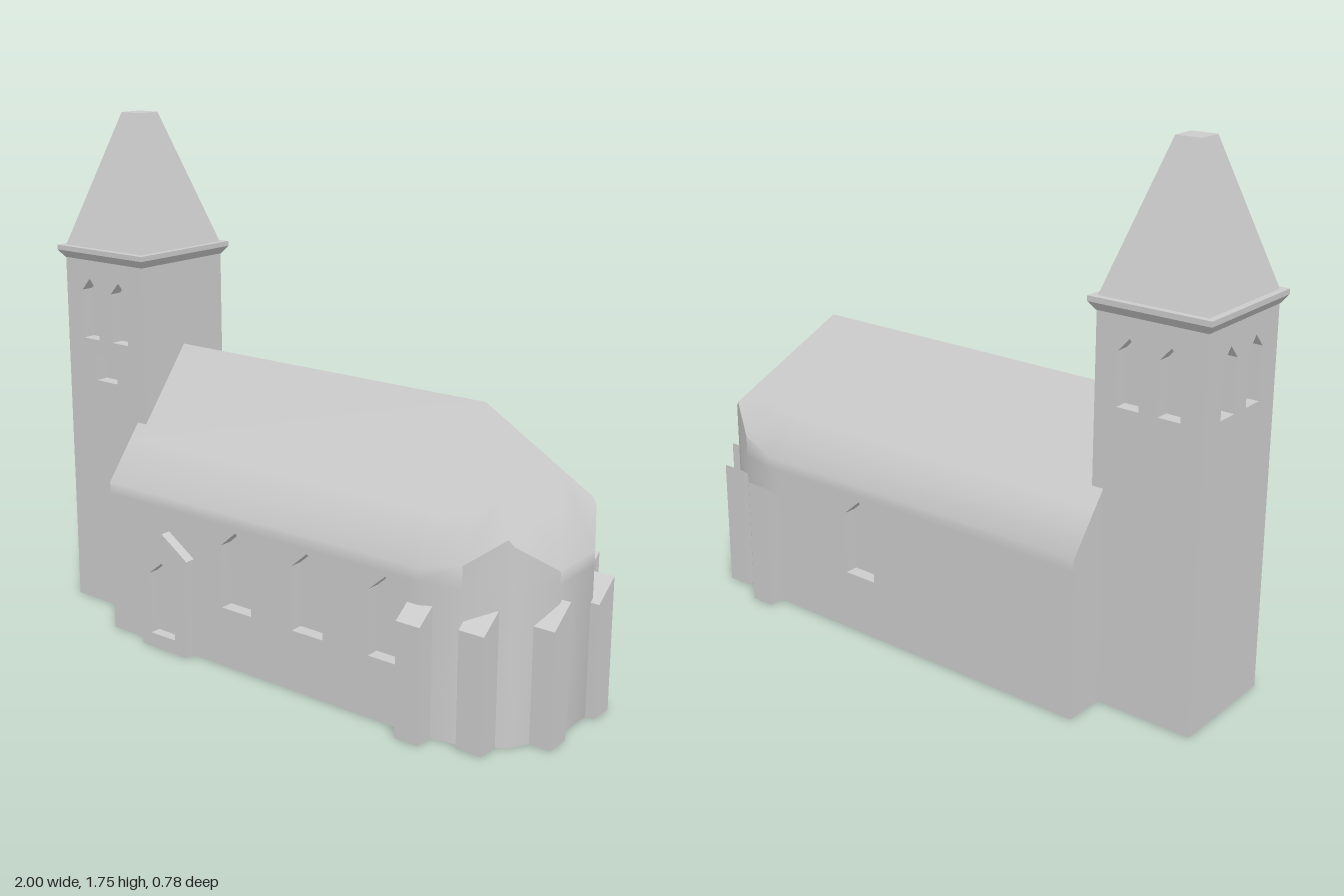
import * as THREE from 'three';
import { toCreasedNormals } from 'three/addons/utils/BufferGeometryUtils.js';

const V = (x, y, z) => new THREE.Vector3(x, y, z);

// Skin of quads between rows of points; rows run anticlockwise seen from above
function skin(rows, skip = () => false) {
  const pos = [];
  const tri = (a, b, c) => {
    const area = b.clone().sub(a).cross(c.clone().sub(a)).length();
    if (area > 1e-7) pos.push(...a, ...b, ...c);
  };
  for (let r = 0; r + 1 < rows.length; r++) {
    for (let i = 0; i + 1 < rows[r].length; i++) {
      if (skip(r, i)) continue;
      const a = rows[r][i], b = rows[r][i + 1], c = rows[r + 1][i + 1], d = rows[r + 1][i];
      tri(a, b, c);
      tri(a, c, d);
    }
  }
  const g = new THREE.BufferGeometry();
  g.setAttribute('position', new THREE.Float32BufferAttribute(pos, 3));
  g.computeVertexNormals();
  return g;
}

const polygon = (pts) => new THREE.Shape(pts.map(([x, y]) => new THREE.Vector2(x, y)));
const rect = (x0, x1, y0, y1) => [[x0, y0], [x1, y0], [x1, y1], [x0, y1]];
// Opening with a pointed head
const pointed = (cx, w, y0, spring, y1) =>
  [[cx - w / 2, y0], [cx + w / 2, y0], [cx + w / 2, spring], [cx, y1], [cx - w / 2, spring]];

// Upright slab with openings, its front face on z = 0
function slab(outline, holes, depth) {
  const shape = polygon(outline);
  holes.forEach((h) => shape.holes.push(polygon(h)));
  return new THREE.ExtrudeGeometry(shape, { depth, bevelEnabled: false }).translate(0, 0, -depth);
}

export function createModel() {
  const stone = new THREE.MeshStandardMaterial({ color: 0xcccccc });
  stone.name = 'pale grey stone';
  const model = new THREE.Group();
  model.name = 'church';
  const group = (name) => {
    const g = new THREE.Group();
    g.name = name;
    model.add(g);
    return g;
  };
  const add = (parent, name, geometry) => {
    const m = new THREE.Mesh(geometry, stone);
    m.name = name;
    parent.add(m);
    return m;
  };
  const box = (x0, x1, y0, y1, hz) =>
    new THREE.BoxGeometry(x1 - x0, y1 - y0, 2 * hz).translate((x0 + x1) / 2, (y0 + y1) / 2, 0);

  // ---- Nave and apse: walls rise to a hipped roof of even pitch
  const nave = group('nave');
  const ridgeY = 0.96, ridgeX = 0.635, pitch = 1.28, wallX = -0.65, half = 0.335, bayX = 0.595, bandY = 0.49;
  const roofY = (x, z) => ridgeY - pitch * Math.max(Math.abs(z), x - ridgeX);
  const side = [[wallX, half], [bayX, half], [0.635, half], [0.77, 0.31], [0.879, 0.244], [0.895, 0.235], [0.97, 0.1]];
  const plan = [...side, ...side.map(([x, z]) => [x, -z]).reverse()];
  const eaves = plan.map(([x, z]) => V(x, roofY(x, z), z));
  const ridge = plan.map(([x]) => V(Math.min(x, ridgeX), ridgeY, 0));
  const rows = [
    plan.map(([x, z]) => V(x, 0, z)),
    plan.map(([x, z]) => V(x, bandY, z)),
    eaves,
    eaves.map((p, i) => p.clone().lerp(ridge[i], 0.3)),
    ridge,
  ];
  // The straight bays below the band are separate slabs with windows
  const straight = (r, i) => r === 0 && (i === 0 || i === plan.length - 2);
  add(nave, 'roofAndApse', toCreasedNormals(skin(rows, straight), 0.75));
  const eaveY = roofY(wallX, half);
  add(nave, 'gableWall', new THREE.ShapeGeometry(
    polygon([[-half, 0], [half, 0], [half, eaveY], [0, ridgeY], [-half, eaveY]]),
  ).rotateY(-Math.PI / 2).translate(wallX, 0, 0));
  add(nave, 'floor', new THREE.ShapeGeometry(polygon(plan)).rotateX(Math.PI / 2));

  const naveWindow = (x) => pointed(x, 0.125, 0.205, 0.42, 0.475);
  add(nave, 'frontWall',
    slab(rect(wallX, bayX, 0, bandY), [-0.08, 0.215, 0.515].map(naveWindow), 0.045).translate(0, 0, half));
  add(nave, 'backWall',
    slab(rect(-bayX, -wallX, 0, bandY), [naveWindow(-0.215)], 0.045).rotateY(Math.PI).translate(0, 0, -half));
  add(nave, 'windowBacking', box(-0.62, bayX, 0.01, bandY, half - 0.045));

  // ---- Porch with a shallow gable and a recessed door
  const porch = group('porch');
  add(porch, 'porchFront', slab(
    [[-0.475, 0], [-0.275, 0], [-0.275, 0.338], [-0.265, 0.343], [-0.375, 0.415], [-0.485, 0.343], [-0.475, 0.338]],
    [pointed(-0.38, 0.11, 0.05, 0.265, 0.31)], 0.036,
  ).translate(0, 0, 0.371));

  // ---- Buttresses round the apse, each with a top sloping down to the front
  const buttresses = group('buttresses');
  const butt = (x0, x1, zc) => {
    const w = 0.0435;
    const g = new THREE.ExtrudeGeometry(
      polygon([[zc - w, 0], [zc + w, 0], [zc + w, 0.375], [zc - w, 0.44]]),
      { depth: x1 - x0, bevelEnabled: false },
    );
    add(buttresses, 'buttress', g.rotateY(-Math.PI / 2).translate(x1, 0, 0));
  };
  for (const s of [1, -1]) {
    butt(0.595, 0.68, s * 0.347);
    butt(0.775, 0.862, s * 0.288);
    butt(0.87, 1.0, s * 0.13);
  }

  // ---- Tower: four slabs with openings round a core
  const tower = group('tower');
  const cx = -0.795, hx = 0.185, hz = 0.195, top = 1.26, t = 0.045;
  const belfry = [-0.07, 0.07].map((x) => pointed(x, 0.076, 0.975, 1.145, 1.187));
  const hatch = rect(-0.05, 0.05, 0.83, 0.925);
  const faces = [
    ['towerFront', hx, hz, 0, [...belfry, hatch]],
    ['towerBack', hx, hz, Math.PI, belfry],
    ['towerLeft', hz - t, hx, Math.PI / 2, []],
    ['towerRight', hz - t, hx, -Math.PI / 2, belfry],
  ];
  for (const [name, w, dist, turn, holes] of faces) {
    add(tower, name,
      slab(rect(-w, w, 0, top), holes, t).translate(0, 0, dist).rotateY(turn).translate(cx, 0, 0));
  }
  add(tower, 'towerCore', box(cx - hx + t, cx + hx - t, 0, top, hz - t));

  // Square rings stacked and closed at both ends
  const stack = (levels) => {
    const ring = ([x, z, y]) =>
      [[-1, 1], [1, 1], [1, -1], [-1, -1], [-1, 1]].map(([a, b]) => V(cx + a * x, y, b * z));
    const first = levels[0], last = levels[levels.length - 1];
    return skin([[0, 0, first[2]], ...levels, [0, 0, last[2]]].map(ring));
  };
  add(tower, 'cornice', stack([[0.187, 0.197, 1.252], [0.205, 0.215, 1.278], [0.205, 0.215, 1.295]]));
  add(tower, 'spire', stack([[hx, hz, 1.29], [0.043, 0.043, 1.747]]));

  return model;
}
